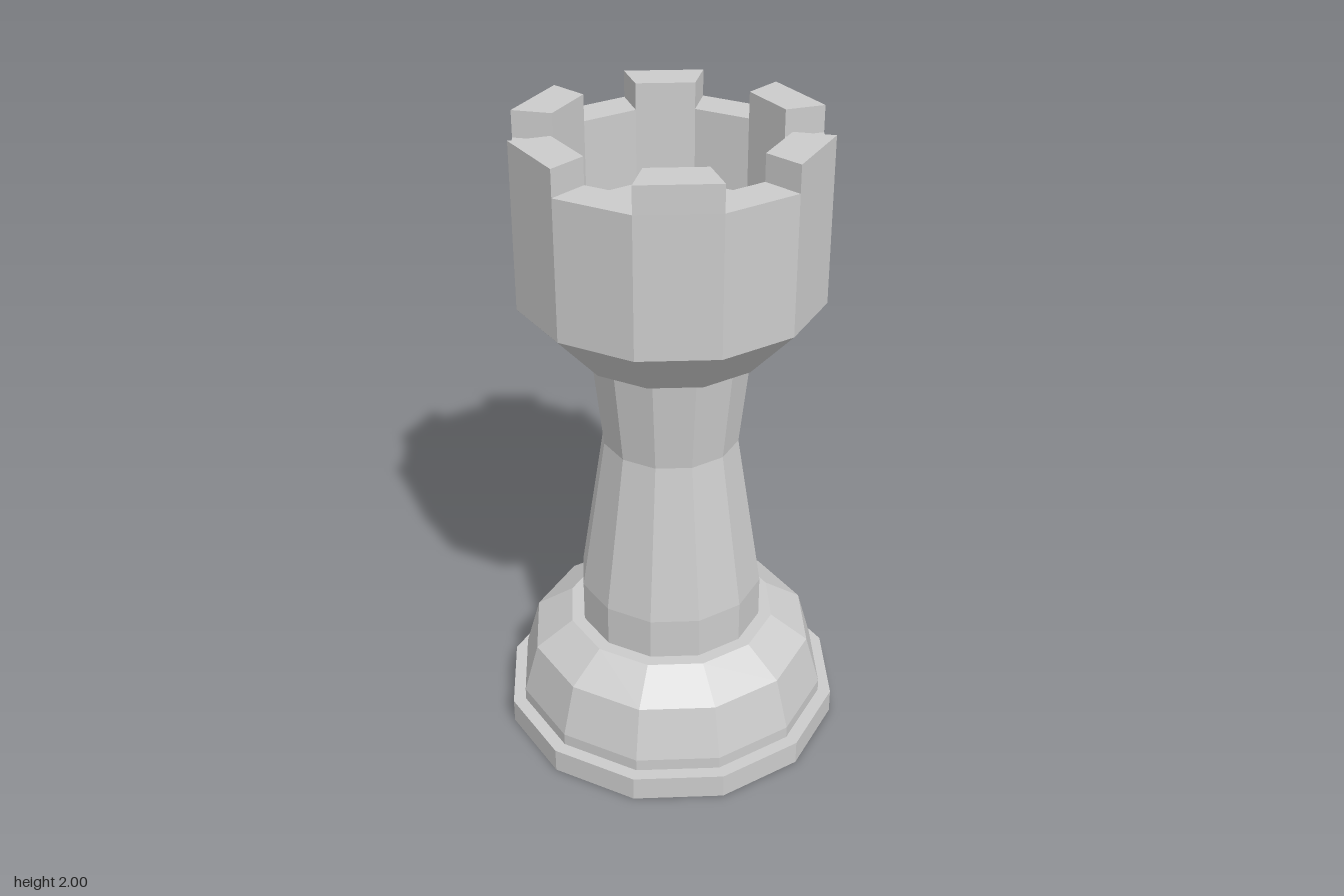
import * as THREE from 'three';

const SIDES = 12;
const STEP = (Math.PI * 2) / SIDES;
const TAN = Math.tan(STEP / 2);
const material = new THREE.MeshStandardMaterial({ color: 0xcccccc, flatShading: true });

function add(parent, name, geometry) {
  const mesh = new THREE.Mesh(geometry, material);
  mesh.name = name;
  parent.add(mesh);
  return mesh;
}

// Twelve-sided turned part; profile is [distance from axis to flat, height], bottom to top
function turned(profile) {
  const points = profile.map(([flat, y]) => new THREE.Vector2(flat / Math.cos(STEP / 2), y));
  return new THREE.LatheGeometry(points, SIDES, STEP / 2);
}

export function createModel() {
  const rook = new THREE.Group();
  rook.name = 'rook';

  // Foot disc and stepped base
  add(rook, 'foot', turned([[0, 0], [0.52, 0], [0.52, 0.08], [0, 0.08]]));
  add(rook, 'base', turned([[0.48, 0.08], [0.48, 0.12], [0.435, 0.285], [0.32, 0.365], [0, 0.365]]));

  // Waisted column
  add(rook, 'column', turned([[0.28, 0.365], [0.28, 0.5], [0.203, 1.01], [0.237, 1.335]]));

  // Hollow tower head with a flared underside
  const inner = 0.325, outer = 0.44, sill = 1.92, top = 2;
  add(rook, 'head', turned([
    [0, 1.335], [0.295, 1.335], [outer, 1.5], [outer, sill], [inner, sill], [inner, 1.69], [0, 1.69],
  ]));

  // Six merlons on alternate sides, with radial ends
  const section = new THREE.Shape([
    new THREE.Vector2(-inner * TAN, inner),
    new THREE.Vector2(inner * TAN, inner),
    new THREE.Vector2(outer * TAN, outer),
    new THREE.Vector2(-outer * TAN, outer),
  ]);
  const block = new THREE.ExtrudeGeometry(section, { depth: top - sill, bevelEnabled: false });
  block.rotateX(-Math.PI / 2);
  const battlements = new THREE.Group();
  battlements.name = 'battlements';
  for (let i = 1; i < SIDES; i += 2) {
    const merlon = add(battlements, 'merlon', block);
    merlon.position.y = sill;
    merlon.rotation.y = i * STEP;
  }
  rook.add(battlements);

  return rook;
}
